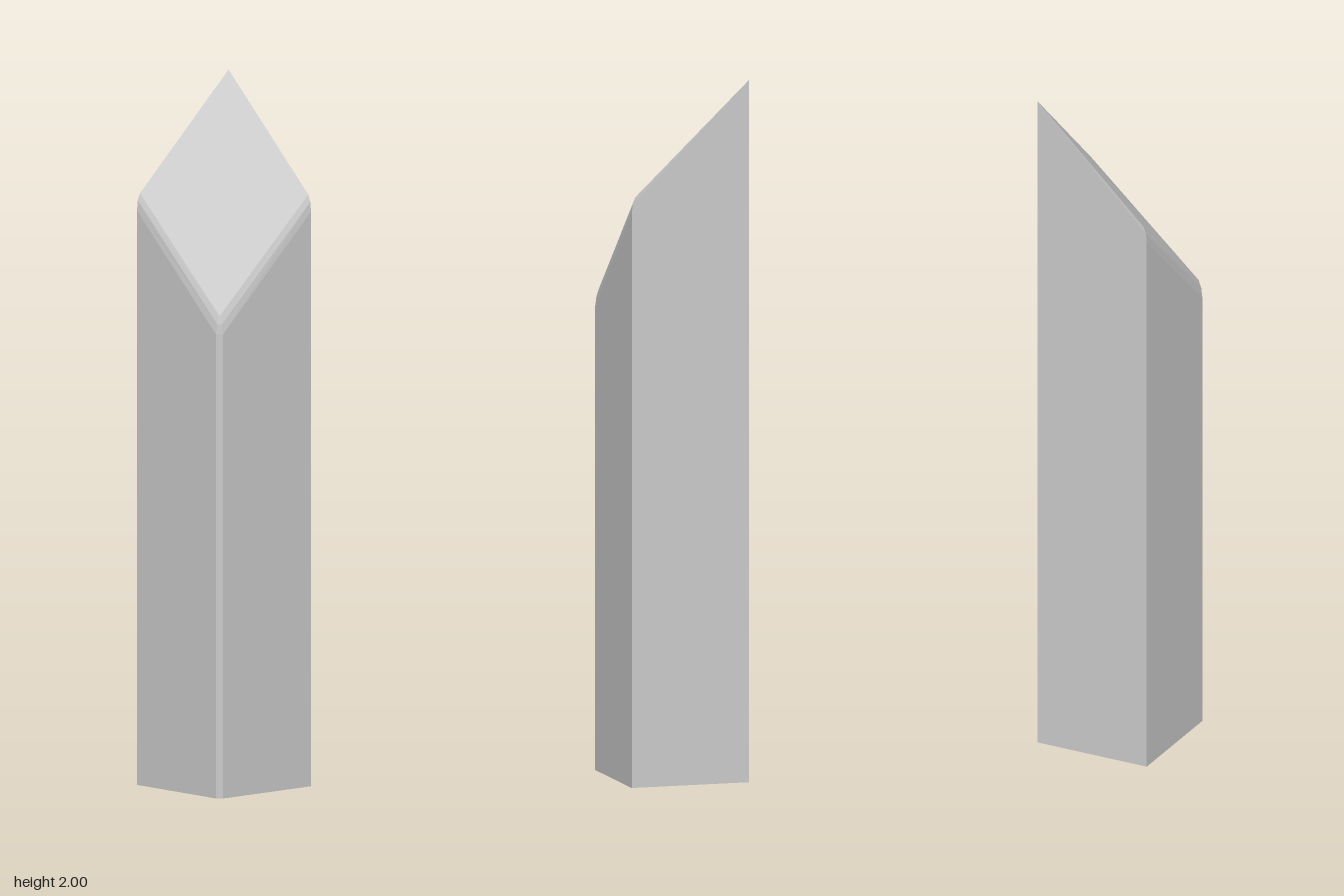
import * as THREE from 'three';

// One mirrored cross-section: back corner, side corners, clipped front corner,
// listed counter-clockwise as seen from above.
function ring(back, side, front) {
  const mirror = ([x, y, z]) => [-x, y, z];
  return [back, mirror(side), mirror(front), front, side];
}

export function createModel() {
  const group = new THREE.Group();
  group.name = 'slantedPost';

  // From the base up: foot, top of the walls, middle of the bevel, rim of the slanted face
  const peak = [0, 2, -0.243];
  const rings = [
    ring([0, 0, -0.243], [0.245, 0, 0], [0.01, 0, 0.241]),
    ring(peak, [0.245, 1.635, 0], [0.01, 1.32, 0.241]),
    ring(peak, [0.243, 1.662, -0.002], [0.006, 1.348, 0.239]),
    ring(peak, [0.237, 1.682, -0.007], [0.001, 1.372, 0.233]),
  ];

  const positions = [];
  const same = (p, q) => p.every((v, i) => v === q[i]);
  const triangle = (a, b, c) => {
    if (!same(a, b) && !same(b, c) && !same(c, a)) positions.push(...a, ...b, ...c);
  };

  // Walls and bevel strips between neighbouring sections
  for (let r = 0; r < rings.length - 1; r++) {
    const low = rings[r], high = rings[r + 1];
    for (let i = 0; i < low.length; i++) {
      const j = (i + 1) % low.length;
      triangle(low[i], low[j], high[j]);
      triangle(low[i], high[j], high[i]);
    }
  }

  // Slanted top face and flat base
  const base = rings[0], top = rings[rings.length - 1];
  for (let i = 1; i < top.length - 1; i++) {
    triangle(top[0], top[i], top[i + 1]);
    triangle(base[0], base[i + 1], base[i]);
  }

  const geometry = new THREE.BufferGeometry();
  geometry.setAttribute('position', new THREE.Float32BufferAttribute(positions, 3));
  geometry.computeVertexNormals();

  const post = new THREE.Mesh(
    geometry,
    new THREE.MeshStandardMaterial({ color: 0xcccccc, flatShading: true })
  );
  post.name = 'post';
  group.add(post);
  return group;
}
